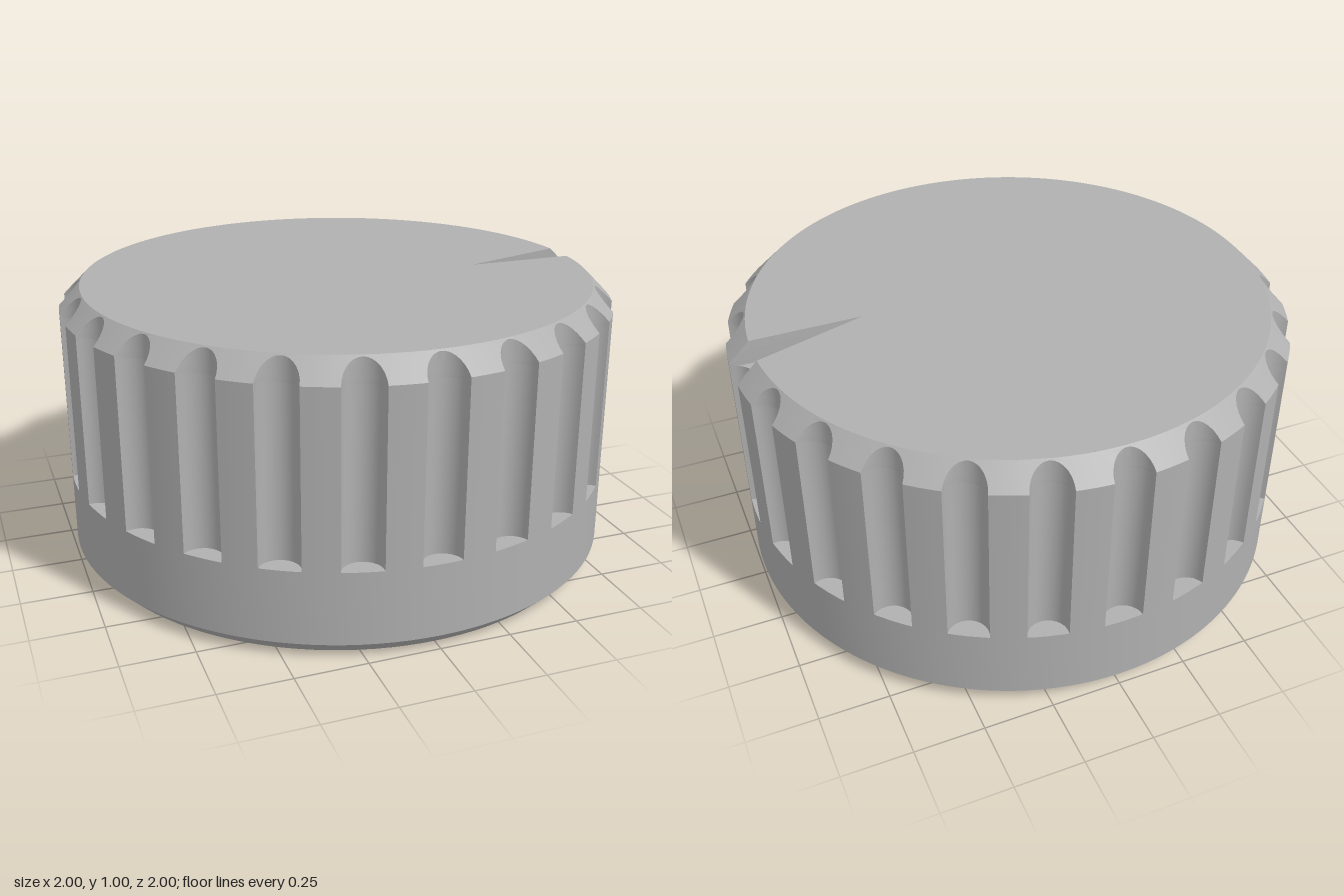
import * as THREE from 'three';
import { toCreasedNormals } from 'three/addons/utils/BufferGeometryUtils.js';

const FLUTES = 24, STEP = (Math.PI * 2) / FLUTES, FLUTE_R = 0.07;
const LEDGE_Y = 0.31, CHAMFER_Y = 0.925, TOP_R = 0.925;
const SLOT_Y = 0.91, SLOT_HALF = 0.0625, SLOT_IN = 0.52;
const BORE_R = 0.46, FLAT_X = 0.224, BORE_TOP = 0.8;

// Half angle a flute takes out of a circle of radius R
const fluteAngle = (R) => Math.acos(Math.min(1, (R * R + 1 - FLUTE_R * FLUTE_R) / (2 * R)));

// Fluted outline at radius R, counter-clockwise; optionally with the pointer slot at +x
function outline(R, slotted) {
  const pts = [];
  const a = fluteAngle(R);
  const slotAngle = Math.max(a, Math.asin(SLOT_HALF / R));
  for (let k = 0; k < FLUTES; k++) {
    const sector = [];
    if (k === 0 && slotted) {
      const x0 = R * Math.cos(slotAngle);
      const x1 = Math.min(x0, 1 - Math.sqrt(FLUTE_R ** 2 - SLOT_HALF ** 2));
      sector.push([x0, -R * Math.sin(slotAngle)], [x1, -SLOT_HALF], [SLOT_IN, -SLOT_HALF],
        [SLOT_IN, SLOT_HALF], [x1, SLOT_HALF], [x0, R * Math.sin(slotAngle)]);
    } else {
      const phi = Math.atan2(R * Math.sin(a), 1 - R * Math.cos(a));
      for (let i = 0; i <= 12; i++) {
        const t = phi * (i / 6 - 1);
        sector.push(a > 0 ? [1 - FLUTE_R * Math.cos(t), FLUTE_R * Math.sin(t)] : [R, 0]);
      }
    }
    // land between this flute and the next
    const from = k === 0 && slotted ? slotAngle : a;
    const to = STEP - (k === FLUTES - 1 && slotted ? slotAngle : a);
    for (let i = 1; i < 5; i++) {
      const t = from + ((to - from) * i) / 5;
      sector.push([R * Math.cos(t), R * Math.sin(t)]);
    }
    const c = Math.cos(k * STEP), s = Math.sin(k * STEP);
    for (const [x, y] of sector) pts.push(new THREE.Vector2(x * c - y * s, x * s + y * c));
  }
  return pts;
}

// Wall through closed outlines stacked in y
function loft(levels) {
  const n = levels[0].pts.length, pos = [], idx = [];
  for (const { pts, y } of levels) for (const p of pts) pos.push(p.x, y, -p.y);
  for (let l = 0; l < levels.length - 1; l++) {
    for (let i = 0; i < n; i++) {
      const a = l * n + i, b = l * n + ((i + 1) % n);
      idx.push(a, b, b + n, a, b + n, a + n);
    }
  }
  const g = new THREE.BufferGeometry();
  g.setAttribute('position', new THREE.Float32BufferAttribute(pos, 3));
  g.setIndex(idx);
  return toCreasedNormals(g, 0.5);
}

// Flat horizontal plate from a shape
function plate(shape, y, up) {
  return new THREE.ShapeGeometry(shape, 96).rotateX(up ? -Math.PI / 2 : Math.PI / 2).translate(0, y, 0);
}

export function createModel() {
  const group = new THREE.Group();
  group.name = 'controlKnob';
  const grey = new THREE.MeshStandardMaterial({ color: 0xb0b0b0 });
  grey.name = 'grey';
  const add = (name, geometry) => {
    const mesh = new THREE.Mesh(geometry, grey);
    mesh.name = name;
    group.add(mesh);
    return mesh;
  };

  // Smooth base band with bottom chamfer
  const band = [[0.95, 0], [1, 0.05], [1, LEDGE_Y]].map(([x, y]) => new THREE.Vector2(x, y));
  add('baseBand', toCreasedNormals(new THREE.LatheGeometry(band, 120), 0.5));
  add('fluteLedge', new THREE.RingGeometry(0.9, 1, 120).rotateX(-Math.PI / 2).translate(0, LEDGE_Y, 0));

  // Fluted grip, then the slotted rim with its chamfer
  add('flutedGrip', loft([LEDGE_Y, SLOT_Y].map((y) => ({ pts: outline(1, false), y }))));
  const rim = [{ pts: outline(1, true), y: SLOT_Y }];
  for (const R of [1, 0.985, 0.97, 0.955, 0.943, 0.936, 0.932, 0.9303, 0.93, TOP_R]) {
    rim.push({ pts: outline(R, true), y: CHAMFER_Y + (1 - R) });
  }
  add('chamferedRim', loft(rim));

  // Top face, notched by the pointer slot
  const half = Math.asin(SLOT_HALF / TOP_R);
  const top = new THREE.Shape();
  top.moveTo(SLOT_IN, SLOT_HALF);
  top.absarc(0, 0, TOP_R, half, Math.PI * 2 - half, false);
  top.lineTo(SLOT_IN, -SLOT_HALF);
  add('topFace', plate(top, 1, true));

  // Slot floor, ending at the flute it runs into
  const floor = new THREE.Shape();
  const t = Math.asin(SLOT_HALF / FLUTE_R);
  floor.moveTo(SLOT_IN, SLOT_HALF);
  floor.lineTo(SLOT_IN, -SLOT_HALF);
  floor.absarc(1, 0, FLUTE_R, Math.PI + t, Math.PI - t, true);
  add('pointerSlotFloor', plate(floor, SLOT_Y, true));

  // D-shaped shaft bore
  const d = Math.acos(FLAT_X / BORE_R);
  const bore = [];
  for (let i = 0; i <= 64; i++) {
    const angle = d + ((Math.PI * 2 - 2 * d) * i) / 64;
    bore.push(new THREE.Vector2(BORE_R * Math.cos(angle), BORE_R * Math.sin(angle)));
  }
  const bottom = new THREE.Shape().absarc(0, 0, 0.95, 0, Math.PI * 2, false);
  bottom.holes.push(new THREE.Path(bore));
  add('bottomFace', plate(bottom, 0, false));
  add('boreCeiling', plate(new THREE.Shape(bore), BORE_TOP, false));
  const inward = [...bore].reverse();
  add('boreWall', loft([{ pts: inward, y: 0 }, { pts: inward, y: BORE_TOP }]));

  // Grip ribs inside the bore
  for (const angle of [Math.PI / 2, Math.PI, -Math.PI / 2]) {
    const rib = add('boreRib', new THREE.BoxGeometry(0.04, BORE_TOP - 0.12, 0.08).translate(0.465, (BORE_TOP + 0.12) / 2, 0));
    rib.rotation.y = angle;
  }
  return group;
}
